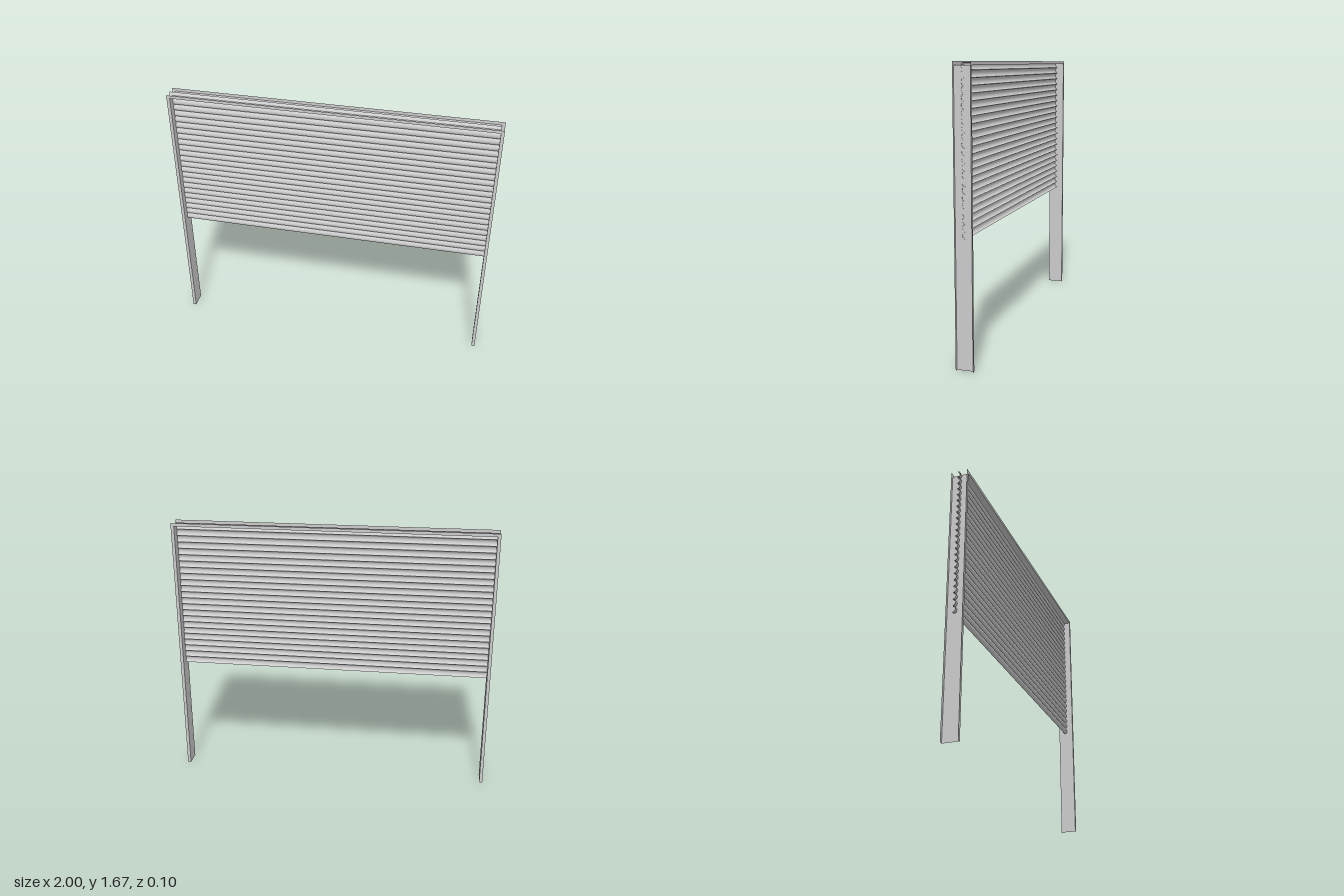
import * as THREE from 'three';

const INNER_X = 0.98, OUTER_X = 1;        // channel web and flange edge, sideways
const INNER_Y = 1.648, OUTER_Y = 1.667;   // channel web and flange edge, upwards
const DEPTH = 0.1;
const SLATS = 23, SLAT_BOTTOM = 0.731, SLAT_PITCH = 0.0405, SLAT_BULGE = 0.018;
const SLAT_LEFT = 0.982, SLAT_RIGHT = -1;

const material = new THREE.MeshStandardMaterial({ color: 0xcccccc, side: THREE.DoubleSide });

function addMesh(parent, name, geometry, x = 0, y = 0, z = 0) {
  const mesh = new THREE.Mesh(geometry, material);
  mesh.name = name;
  mesh.position.set(x, y, z);
  parent.add(mesh);
  return mesh;
}

// Sheet-metal channel around the opening, open outwards
function createFrame() {
  const frame = new THREE.Group();
  frame.name = 'frame';

  const outline = new THREE.Shape([
    [-OUTER_X, 0], [-INNER_X, 0], [-INNER_X, INNER_Y], [INNER_X, INNER_Y],
    [INNER_X, 0], [OUTER_X, 0], [OUTER_X, OUTER_Y], [-OUTER_X, OUTER_Y],
  ].map(([x, y]) => new THREE.Vector2(x, y)));
  const flange = new THREE.ShapeGeometry(outline);
  addMesh(frame, 'frontFlange', flange, 0, 0, DEPTH / 2);
  addMesh(frame, 'backFlange', flange, 0, 0, -DEPTH / 2);

  const sideWeb = new THREE.PlaneGeometry(DEPTH, INNER_Y);
  for (const [name, side] of [['leftWeb', 1], ['rightWeb', -1]]) {
    addMesh(frame, name, sideWeb, side * INNER_X, INNER_Y / 2).rotation.y = side * Math.PI / 2;
  }
  const topWeb = new THREE.PlaneGeometry(2 * INNER_X, DEPTH);
  addMesh(frame, 'topWeb', topWeb, 0, INNER_Y).rotation.x = -Math.PI / 2;
  return frame;
}

// One thin slat, bent to an arc that bulges to the front
function createSlatGeometry() {
  const geometry = new THREE.PlaneGeometry(SLAT_LEFT - SLAT_RIGHT, 2, 1, 10);
  const position = geometry.attributes.position;
  for (let i = 0; i < position.count; i++) {
    const angle = position.getY(i) * Math.PI / 2;
    position.setY(i, Math.sin(angle) * SLAT_PITCH / 2);
    position.setZ(i, (Math.cos(angle) - 0.5) * SLAT_BULGE);
  }
  geometry.computeVertexNormals();
  return geometry;
}

// Half-lowered curtain of stacked slats
function createCurtain() {
  const curtain = new THREE.Group();
  curtain.name = 'shutterCurtain';
  const slat = createSlatGeometry();
  for (let i = 0; i < SLATS; i++) {
    addMesh(curtain, `slat${i + 1}`, slat,
      (SLAT_LEFT + SLAT_RIGHT) / 2, SLAT_BOTTOM + (i + 0.5) * SLAT_PITCH);
  }
  return curtain;
}

export function createModel() {
  const model = new THREE.Group();
  model.name = 'rollerShutter';
  model.add(createFrame(), createCurtain());
  return model;
}
